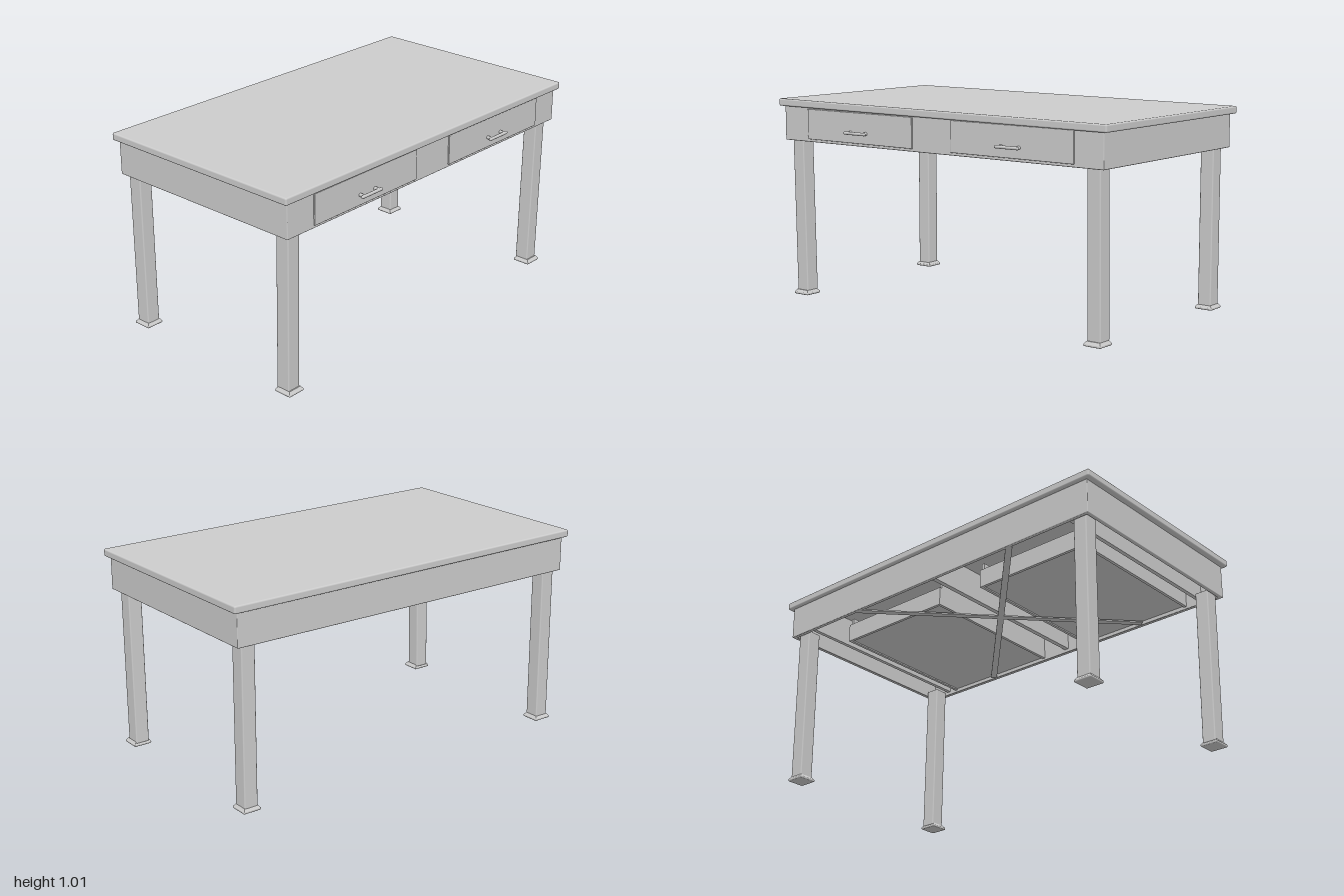
import * as THREE from 'three';
import { RoundedBoxGeometry } from 'three/addons/geometries/RoundedBoxGeometry.js';

const material = new THREE.MeshStandardMaterial({ color: 0xcccccc });
const flat = new THREE.MeshStandardMaterial({ color: 0xcccccc, flatShading: true });

// Box given by its extents on each axis; a radius rounds the edges.
function block(parent, name, [x0, x1], [y0, y1], [z0, z1], radius = 0) {
  const size = [x1 - x0, y1 - y0, z1 - z0];
  const geometry = radius
    ? new RoundedBoxGeometry(...size, 3, radius)
    : new THREE.BoxGeometry(...size);
  const mesh = new THREE.Mesh(geometry, material);
  mesh.name = name;
  mesh.position.set((x0 + x1) / 2, (y0 + y1) / 2, (z0 + z1) / 2);
  parent.add(mesh);
  return mesh;
}

function group(parent, name) {
  const g = new THREE.Group();
  g.name = name;
  parent.add(g);
  return g;
}

// Square leg, optionally leaning, with a thin flared foot.
function leg(parent, name, x, z, lean) {
  const g = group(parent, name);
  g.position.set(x, 0, z);
  const post = block(g, 'post', [-0.036, 0.036], [0.015, 0.82], [-0.037, 0.037], 0.006);
  post.rotation.x = lean;
  const flare = new THREE.CylinderGeometry(0.036 * Math.SQRT2, 0.045 * Math.SQRT2, 0.012, 4);
  flare.rotateY(Math.PI / 4);
  const flareMesh = new THREE.Mesh(flare, flat);
  flareMesh.name = 'footFlare';
  flareMesh.position.y = 0.019;
  g.add(flareMesh);
  block(g, 'footPad', [-0.047, 0.047], [0.002, 0.015], [-0.047, 0.047], 0.005);
}

// Bar pull on two posts.
function handle(parent, x) {
  const g = group(parent, 'handle');
  const bar = new THREE.Mesh(new THREE.CapsuleGeometry(0.008, 0.125, 4, 10), material);
  bar.name = 'bar';
  bar.rotation.z = Math.PI / 2;
  bar.position.set(x, 0.868, 0.569);
  g.add(bar);
  for (const s of [-1, 1]) {
    const post = new THREE.Mesh(new THREE.CylinderGeometry(0.007, 0.009, 0.03, 10), material);
    post.name = 'handlePost';
    post.rotation.x = Math.PI / 2;
    post.position.set(x + s * 0.05, 0.868, 0.556);
    g.add(post);
  }
}

// Drawer: a wide, slightly proud front on a narrower box with a low back board.
function drawer(parent, name, [f0, f1], [x0, x1]) {
  const g = group(parent, name);
  const back = -0.3;
  block(g, 'drawerFront', [f0, f1], [0.816, 0.968], [0.52, 0.542], 0.003);
  block(g, 'drawerBottom', [x0, x1], [0.822, 0.832], [back, 0.52]);
  block(g, 'drawerBack', [x0, x1], [0.815, 0.91], [back - 0.015, back]);
  for (const x of [x0, x1 - 0.015]) {
    block(g, 'drawerSide', [x, x + 0.015], [0.815, 0.95], [back, 0.52]);
  }
  handle(g, (f0 + f1) / 2);
}

export function createModel() {
  const table = new THREE.Group();
  table.name = 'table';

  // Top, dipping very slightly to one side
  const top = block(table, 'tableTop', [-1, 1], [0.971, 1.008], [-0.575, 0.555], 0.008);
  top.rotation.z = -0.004;

  // Apron
  const apron = group(table, 'apron');
  block(apron, 'frontApron', [-0.975, 0.975], [0.802, 0.975], [0.515, 0.535], 0.004);
  block(apron, 'backApron', [-0.975, 0.975], [0.802, 0.975], [-0.555, -0.535], 0.004);
  for (const s of [-1, 1]) {
    block(apron, 'sideApron', [s * 0.965 - 0.01, s * 0.965 + 0.01], [0.802, 0.975], [-0.555, 0.535], 0.004);
  }

  // Legs
  for (const [side, x] of [['left', 0.906], ['right', -0.911]]) {
    leg(table, side + 'FrontLeg', x, 0.468, 0.016);
    leg(table, side + 'BackLeg', x, -0.495, 0);
  }

  // Drawers
  drawer(table, 'leftDrawer', [0.12, 0.82], [0.15, 0.8]);
  drawer(table, 'rightDrawer', [-0.81, -0.12], [-0.77, -0.12]);

  // Upright rails under the top, with narrow drawer runners
  const frame = group(table, 'underframe');
  block(frame, 'centreRail', [-0.012, 0.012], [0.82, 0.975], [-0.54, 0.52]);
  for (const s of [-1, 1]) {
    block(frame, 'sideRail', [s * 0.85 - 0.01, s * 0.85 + 0.01], [0.82, 0.975], [-0.54, 0.52]);
  }
  block(frame, 'backRail', [-0.95, 0.95], [0.9, 0.975], [-0.54, -0.51]);

  // Crossed straps beneath the drawers
  for (const s of [-1, 1]) {
    const strap = block(frame, 'crossStrap', [-0.725, 0.725], [0.802, 0.809], [-0.016, 0.016]);
    strap.position.z = -0.02;
    strap.rotation.y = s * Math.atan2(1.04, 1.0);
  }
  return table;
}
